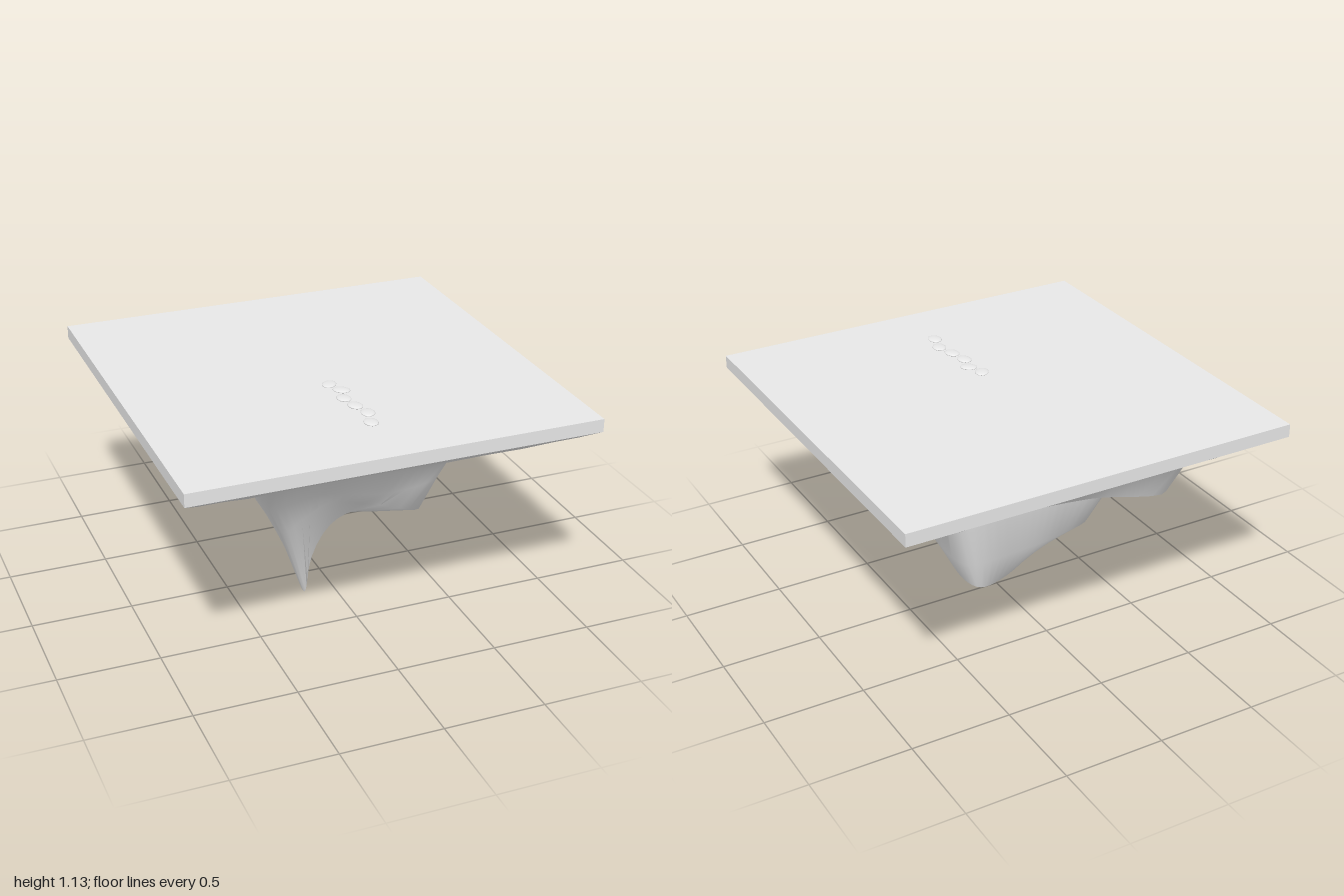
import * as THREE from 'three';
import { toCreasedNormals } from 'three/addons/utils/BufferGeometryUtils.js';

const V = (a) => new THREE.Vector3(...a);
const STEPS = 6; // subdivisions between neighbouring control points

// Square outline with twelve control points, front edge first, then round by +x
function square(h, y, back = h, yBack = y) {
  const t = h / 3;
  return [
    [-h, y, h], [-t, y, h], [t, y, h],
    [h, y, h], [h, y, t], [h, y, -t],
    [h, yBack, -back], [t, yBack, -back], [-t, yBack, -back],
    [-h, yBack, -back], [-h, y, -t], [-h, y, t],
  ];
}

// Resample a ring of control points, straight or smoothly curved
function sample(points, straight) {
  const n = points.length;
  const curve = new THREE.CatmullRomCurve3(points.map(V), true, 'centripetal');
  return Array.from({ length: n * STEPS }, (_, k) => {
    if (!straight) return curve.getPoint(k / (n * STEPS));
    const i = Math.floor(k / STEPS);
    return V(points[i]).lerp(V(points[(i + 1) % n]), (k % STEPS) / STEPS);
  });
}

// Skin a stack of rings from the top down, closing at a last point
function loft(rings, end) {
  const n = rings[0].length;
  const positions = rings.flat().flatMap((p) => p.toArray());
  positions.push(...end);
  const index = [];
  const last = rings.length * n;
  for (let r = 0; r < rings.length; r++) {
    for (let i = 0; i < n; i++) {
      const a = r * n + i;
      const b = r * n + ((i + 1) % n);
      if (r === rings.length - 1) index.push(last, b, a);
      else index.push(a + n, b, a, a + n, b + n, b);
    }
  }
  const g = new THREE.BufferGeometry();
  g.setAttribute('position', new THREE.Float32BufferAttribute(positions, 3));
  g.setIndex(index);
  return toCreasedNormals(g, 1.0);
}

function rockGeometry() {
  // Broken lip under the plate
  const lip = [
    [-0.47, 0.81, 0.55], [-0.18, 0.82, 0.57], [0.18, 0.77, 0.53],
    [0.48, 0.79, 0.5], [0.5, 0.82, 0.2], [0.5, 0.81, -0.18],
    [0.59, 0.75, -0.5], [0.2, 0.75, -0.54], [-0.2, 0.73, -0.57],
    [-0.6, 0.68, -0.61], [-0.52, 0.78, -0.2], [-0.5, 0.77, 0.18],
  ];
  // Top of the core, recessed behind the lip at the back
  const coreTop = [
    [-0.42, 0.64, 0.42], [-0.16, 0.7, 0.48], [0.16, 0.63, 0.46],
    [0.45, 0.66, 0.43], [0.46, 0.7, 0.15], [0.46, 0.7, -0.2],
    [0.47, 0.77, -0.46], [0.16, 0.82, -0.47], [-0.16, 0.82, -0.47],
    [-0.44, 0.78, -0.46], [-0.43, 0.66, -0.18], [-0.43, 0.64, 0.14],
  ];
  // Ledge where the core breaks up
  const coreBase = [
    [-0.3, 0.41, 0.28], [-0.12, 0.6, 0.4], [0.12, 0.54, 0.38],
    [0.38, 0.46, 0.37], [0.39, 0.48, 0.1], [0.41, 0.44, -0.15],
    [0.39, 0.46, -0.42], [0.13, 0.46, -0.43], [-0.1, 0.48, -0.43],
    [-0.28, 0.5, -0.4], [-0.3, 0.42, -0.15], [-0.28, 0.39, 0.1],
  ];
  // Lowest ridge with the long spike and the blunt rear lobe
  const tips = [
    [-0.155, 0, 0.185], [-0.125, 0.19, 0.2], [-0.06, 0.45, 0.27],
    [0.26, 0.43, 0.27], [0.28, 0.41, 0.06], [0.35, 0.31, -0.2],
    [0.33, 0.3, -0.39], [0.13, 0.24, -0.3], [-0.03, 0.33, -0.3],
    [-0.13, 0.31, -0.22], [-0.18, 0.2, -0.1], [-0.17, 0.1, 0.06],
  ];
  // Hollow between the tips
  const hollow = tips.map(([x, y, z]) => [x * 0.75 + 0.015, Math.max(y, 0.41), z * 0.7]);
  return loft([
    sample(square(1, 1.05), true),
    sample(square(0.92, 1.0), true),
    sample(square(0.81, 0.955, 0.83, 0.96)),
    sample(square(0.67, 0.875, 0.72, 0.93)),
    sample(lip), sample(coreTop), sample(coreBase), sample(tips), sample(hollow),
  ], [0.06, 0.46, 0]);
}

export function createModel() {
  const model = new THREE.Group();
  model.name = 'floatingIsland';
  const grey = new THREE.MeshStandardMaterial({ color: 0xe7e7e7 });
  grey.name = 'stoneGrey';

  const add = (name, geometry) => {
    const mesh = new THREE.Mesh(geometry, grey);
    mesh.name = name;
    model.add(mesh);
    return mesh;
  };

  // Flat ground plate
  add('groundPlate', new THREE.BoxGeometry(2, 0.065, 2)).position.y = 1.0825;

  // Hanging rock
  add('hangingRock', rockGeometry());

  // Stepping stones: x, z, turn
  const stones = [
    [-0.025, 0.19, -0.6], [0.005, 0.272, 0.8], [-0.02, 0.362, 0.1],
    [-0.002, 0.457, 0.2], [0.022, 0.55, -0.2], [-0.005, 0.65, 0],
  ];
  const pebble = new THREE.SphereGeometry(1, 24, 14);
  stones.forEach(([x, z, turn], i) => {
    const stone = add(`steppingStone${i + 1}`, pebble);
    stone.scale.set(0.034, 0.008, 0.043);
    stone.position.set(x, 1.121, z);
    stone.rotation.y = turn;
  });

  return model;
}
